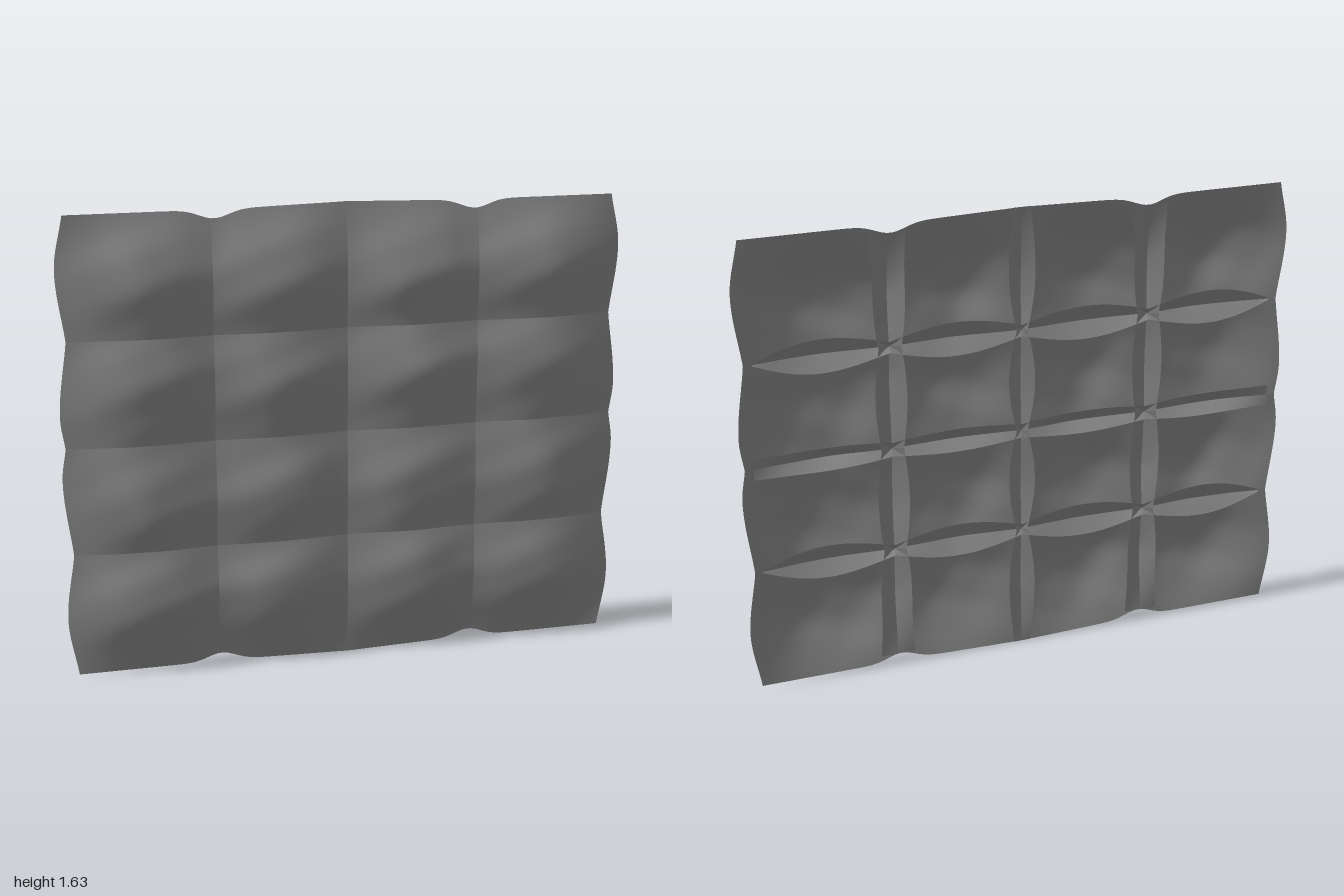
import * as THREE from 'three';

const material = new THREE.MeshStandardMaterial({ color: 0x999999, side: THREE.DoubleSide });
const BACK = -0.028, DEPTH = 0.056;
const seamX = [-0.98, -0.47, 0, 0.47, 0.98];
const seamY = [0.012, 0.45, 0.83, 1.2, 1.625];
// knots of the padding profile: [position, fullness], alternating seams and crowns
const fullX = [[-0.98, 0], [-0.7, 1], [-0.47, 0.5], [-0.24, 1], [0, 0.34], [0.24, 1], [0.47, 0.5], [0.7, 1], [0.98, 0]];
const fullY = [[0.012, 0], [0.28, 1], [0.45, 0.58], [0.62, 1], [0.83, 0.55], [1.04, 1], [1.2, 0.58], [1.37, 1], [1.625, 0]];
// how far the left and right edges bulge along their height
const edgeBulge = [[0.012, 0], [0.22, 1], [0.45, 0.1], [0.72, 1], [0.83, 0.55], [0.94, 1], [1.2, 0.1], [1.44, 1], [1.625, 0]];

// rises out of each seam with a soft crease and rounds off at each crown
function fullness(knots, p) {
  let i = 0;
  while (i < knots.length - 2 && p > knots[i + 1][0]) i++;
  const [a, fa] = knots[i], [b, fb] = knots[i + 1];
  const t = THREE.MathUtils.clamp((p - a) / (b - a), 0, 1);
  const [seam, crown, s] = i % 2 === 0 ? [fa, fb, t] : [fb, fa, 1 - t];
  const rise = 0.6 * Math.sin(s * Math.PI / 2) + 0.4 * s * s * (3 - 2 * s);
  return seam + (crown - seam) * rise;
}

// cloth surface, with crossing wrinkles
function height(x, y) {
  const f = fullness(fullX, x) * fullness(fullY, y);
  const wrinkle = 0.06 * Math.sin(9 * x + 14 * y) * Math.sin(13 * x - 6 * y + 1)
    + 0.05 * Math.sin(21 * x - 11 * y) * Math.sin(8 * x + 27 * y + 2);
  return BACK + DEPTH * f * (0.96 + wrinkle);
}

// scalloped outline: only the outer ring of cells is stretched
function outline(x, y) {
  let px = x, py = y;
  const ax = Math.abs(x);
  if (ax > 0.47) {
    const edge = 0.965 + 0.032 * fullness(edgeBulge, y);
    px = Math.sign(x) * (0.47 + (ax - 0.47) * (edge - 0.47) / 0.51);
  }
  const dip = 0.03 * Math.exp(-(((ax - 0.46) / 0.07) ** 2)) - 0.01 * Math.max(0, 1 - ax / 0.4);
  if (y > 1.2) py -= dip * (y - 1.2) / 0.425;
  if (y < 0.45) py += dip * (0.45 - y) / 0.438;
  return [px, py];
}

// surface from a grid of points given by fn(u, v)
function sheet(nu, nv, fn) {
  const g = new THREE.PlaneGeometry(1, 1, nu, nv);
  const pos = g.attributes.position;
  for (let i = 0; i < pos.count; i++) {
    pos.setXYZ(i, ...fn(pos.getX(i) + 0.5, pos.getY(i) + 0.5));
  }
  g.computeVertexNormals();
  return g;
}

function addMesh(parent, name, geometry) {
  const mesh = new THREE.Mesh(geometry, material);
  mesh.name = name;
  parent.add(mesh);
}

export function createModel() {
  const model = new THREE.Group();
  model.name = 'quiltedPanel';

  // sixteen padded cells, separate so the stitched seams stay crisp
  const cells = new THREE.Group();
  cells.name = 'paddedCells';
  model.add(cells);
  for (let i = 0; i < 4; i++) {
    for (let j = 0; j < 4; j++) {
      addMesh(cells, 'paddedCell', sheet(28, 24, (u, v) => {
        const x = THREE.MathUtils.lerp(seamX[i], seamX[i + 1], u);
        const y = THREE.MathUtils.lerp(seamY[j], seamY[j + 1], v);
        return [...outline(x, y), height(x, y)];
      }));
    }
  }

  // V-shaped seam folds on the back: two flaps flaring from each seam, narrowing at crossings
  const folds = new THREE.Group();
  folds.name = 'seamFolds';
  model.add(folds);
  const addFold = (name, cuts, horizontal, at, pinch, wide, endWidth) => {
    for (let k = 0; k < 4; k++) {
      const start = k === 0 ? endWidth : pinch, end = k === 3 ? endWidth : pinch;
      for (const side of [-1, 1]) {
        addMesh(folds, name, sheet(24, 4, (u, v) => {
          const p = THREE.MathUtils.lerp(cuts[k], cuts[k + 1], u);
          const base = THREE.MathUtils.lerp(start, end, u);
          const w = base + (wide - Math.min(wide, base)) * Math.sin(Math.PI * u);
          const [x, y] = horizontal ? [p, at] : [at, p];
          const [px, py] = outline(x, y);
          const z = THREE.MathUtils.lerp(BACK, height(x, y), 0.85 * (1 - v));
          // the flaps keep the winding that makes their normals face backwards
          const q = side * w * v;
          return horizontal ? [px, py + q, z] : [px + q, py, z];
        }));
      }
    }
  };
  const spanX = [-0.95, -0.47, 0, 0.47, 0.95];
  addFold('lowerFold', spanX, true, 0.45, 0.02, 0.06, 0.004);
  addFold('middleFold', spanX, true, 0.83, 0.025, 0.042, 0.038);
  addFold('upperFold', spanX, true, 1.2, 0.02, 0.06, 0.004);
  addFold('centreFold', seamY, false, 0, 0.02, 0.048, 0.03);
  for (const s of [-1, 1]) addFold('sideFold', seamY, false, s * 0.47, 0.04, 0.056, 0.062);

  return model;
}
